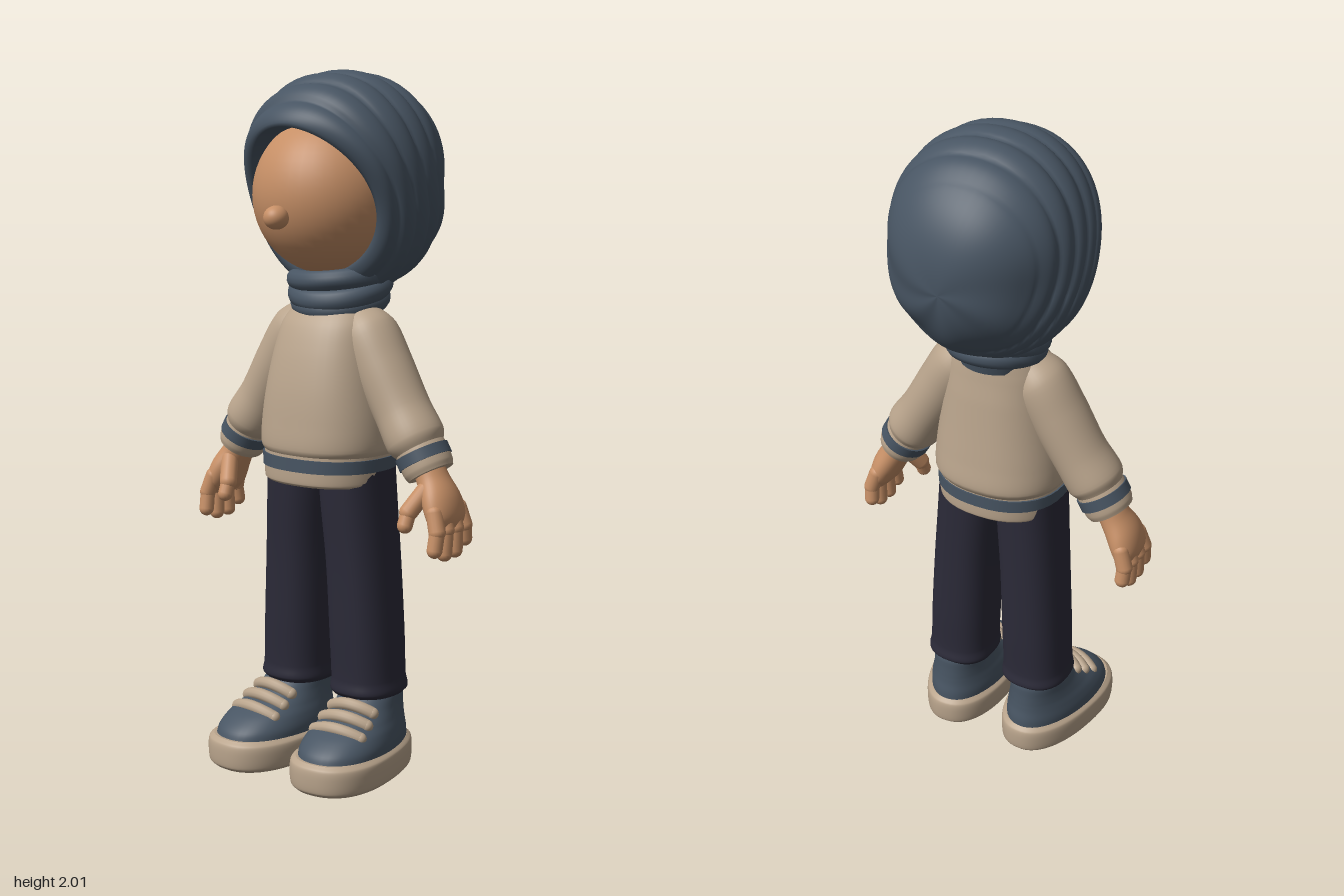
import * as THREE from 'three';

const V = (x, y, z) => new THREE.Vector3(x, y, z);
const mat = (name, color) => {
  const m = new THREE.MeshStandardMaterial({ color });
  m.name = name;
  return m;
};
const TAU = Math.PI * 2;

// Skin over a list of closed rings, with flat caps where wanted
function skin(rings, capStart = true, capEnd = true) {
  const n = rings[0].length, pos = [], idx = [];
  rings.forEach(r => r.forEach(p => pos.push(p.x, p.y, p.z)));
  for (let i = 0; i < rings.length - 1; i++)
    for (let j = 0; j < n; j++) {
      const a = i * n + j, b = i * n + (j + 1) % n;
      idx.push(a, a + n, b, b, a + n, b + n);
    }
  const cap = (ring, flip) => {
    const c = ring.reduce((s, p) => s.add(p), V(0, 0, 0)).divideScalar(n);
    const base = pos.length / 3;
    [c, ...ring].forEach(p => pos.push(p.x, p.y, p.z));
    for (let j = 0; j < n; j++) {
      const a = base + 1 + j, b = base + 1 + (j + 1) % n;
      flip ? idx.push(base, b, a) : idx.push(base, a, b);
    }
  };
  if (capStart) cap(rings[0], false);
  if (capEnd) cap(rings[rings.length - 1], true);
  const g = new THREE.BufferGeometry();
  g.setAttribute('position', new THREE.Float32BufferAttribute(pos, 3));
  g.setIndex(idx);
  g.computeVertexNormals();
  return g;
}

// Loft through sections [x, y, z, radiusA, radiusB]; flat keeps the rings level
function loft(sections, { flat = true, power = 2, steps = 6, seg = 40 } = {}) {
  const path = new THREE.CatmullRomCurve3(sections.map(s => V(s[0], s[1], s[2])));
  const rad = new THREE.CatmullRomCurve3(sections.map((s, i) => V(s[3], s[4], i * 0.05)));
  const count = (sections.length - 1) * steps, rings = [];
  const bend = c => Math.sign(c) * Math.abs(c) ** (2 / power);
  for (let i = 0; i <= count; i++) {
    const p = path.getPoint(i / count), r = rad.getPoint(i / count);
    const t = flat ? V(0, 1, 0) : path.getTangent(i / count);
    const u = V(t.y, -t.x, 0).normalize(), w = u.clone().cross(t);
    rings.push(Array.from({ length: seg }, (_, j) => {
      const a = j / seg * TAU;
      return p.clone().addScaledVector(u, bend(Math.cos(a)) * r.x).addScaledVector(w, bend(Math.sin(a)) * r.y);
    }));
  }
  return skin(rings);
}

function capsule(a, b, r) {
  const d = b.clone().sub(a);
  const g = new THREE.CapsuleGeometry(r, d.length(), 8, 16);
  g.applyQuaternion(new THREE.Quaternion().setFromUnitVectors(V(0, 1, 0), d.normalize()));
  return g.translate((a.x + b.x) / 2, (a.y + b.y) / 2, (a.z + b.z) / 2);
}

const ellipsoid = (x, y, z, rx, ry, rz) =>
  new THREE.SphereGeometry(1, 40, 28).scale(rx, ry, rz).translate(x, y, z);

// Draped hood: rings sweep from the face opening to the back of the head
function hoodGeometry() {
  const C = V(0, 1.69, -0.03), pole = V(0, -0.12, -1).normalize();
  const N = 96, T = 100, rings = [[]];
  const opening = v => {
    const y = 1.645 + 0.205 * Math.cos(v);
    return V(-0.213 * Math.sin(v), y, 0.07 + 0.175 * ((y - 1.5) / 0.36) ** 2);
  };
  for (let j = 0; j < N; j++) {
    const p = opening(j / N * TAU);
    rings[0].push(V(p.x * 0.96, p.y, p.z - 0.1));
  }
  for (let i = 0; i <= T; i++) {
    const t = i / T * 0.998, ring = [];
    for (let j = 0; j < N; j++) {
      const v = j / N * TAU, p = opening(v).sub(C), len = p.length();
      const d = p.clone().normalize(), ang = d.angleTo(pole);
      const dir = d.multiplyScalar(Math.sin((1 - t) * ang))
        .addScaledVector(pole, Math.sin(t * ang)).divideScalar(Math.sin(ang));
      const k = 2.15;
      const R = (Math.abs(dir.x / 0.268) ** k + Math.abs(dir.y / 0.302) ** k + Math.abs(dir.z / 0.295) ** k) ** (-1 / k);
      const s = 1 - (1 - Math.min(t / 0.2, 1)) ** 2;
      // layered pleats near the face, soft swirling folds behind
      const fade = 1 - THREE.MathUtils.smoothstep(t, 0.42, 0.68);
      const pleat = 0.015 * Math.abs(Math.sin(Math.PI * (t * 9 + 0.3 * Math.sin(v + 0.6) * t * 3))) ** 0.6;
      const swirl = 0.007 * Math.sin(5 * v + 7 * t) * (1 - fade) * (1 - t) * 2;
      const r = len + (R - len) * s + pleat * fade + swirl + 0.006 * (1 - fade);
      ring.push(C.clone().addScaledVector(dir, r));
    }
    rings.push(ring);
  }
  return skin(rings, false, true);
}

export function createModel() {
  const root = new THREE.Group();
  root.name = 'child';
  const skinTone = mat('skin', 0xc68f66), cloth = mat('slateBlue', 0x485563);
  const knit = mat('beige', 0xb9a48c), navy = mat('darkNavy', 0x2b2a38);
  const add = (name, geo, m, parent = root) => {
    const mesh = new THREE.Mesh(geo, m);
    mesh.name = name;
    parent.add(mesh);
    return mesh;
  };

  // Head
  add('face', ellipsoid(0, 1.66, 0.03, 0.215, 0.225, 0.225), skinTone);
  add('nose', ellipsoid(0, 1.605, 0.262, 0.035, 0.033, 0.037), skinTone);
  add('hood', hoodGeometry(), cloth);

  // Neck wrap: a core and sagging rolls
  add('neckWrapCore', loft([[0, 1.32, -0.01, 0.11, 0.11], [0, 1.4, -0.02, 0.125, 0.12], [0, 1.47, -0.03, 0.14, 0.13]]), cloth);
  [[1.432, 0.13, 0.118, 0.03, 0.012], [1.395, 0.122, 0.112, 0.034, 0.025], [1.36, 0.113, 0.108, 0.033, 0.028]]
    .forEach(([y, rx, rz, r, sag], i) => {
      const pts = Array.from({ length: 16 }, (_, j) => {
        const a = j / 16 * TAU;
        return V(rx * Math.cos(a), y - sag * Math.sin(a) + 0.008 * Math.cos(a + i * 2), -0.018 + rz * Math.sin(a));
      });
      add('neckWrapRoll' + (i + 1), new THREE.TubeGeometry(new THREE.CatmullRomCurve3(pts, true), 64, r, 14, true), cloth);
    });

  // Sweater body, hem and stripe
  add('sweaterBody', loft([
    [0, 0.925, 0.028, 0.185, 0.165], [0, 0.95, 0.028, 0.2, 0.178], [0, 1.02, 0.03, 0.198, 0.172],
    [0, 1.12, 0.03, 0.184, 0.16], [0, 1.22, 0.024, 0.167, 0.143], [0, 1.3, 0.014, 0.15, 0.122],
    [0, 1.36, -0.005, 0.115, 0.095], [0, 1.39, -0.01, 0.08, 0.07],
  ], { power: 2.3 }), knit);
  add('sweaterHem', loft([[0, 0.845, 0.03, 0.18, 0.16], [0, 0.853, 0.03, 0.188, 0.168],
    [0, 0.9, 0.03, 0.19, 0.169], [0, 0.94, 0.03, 0.19, 0.168]], { power: 2.3 }), knit);
  add('hemStripe', loft([[0, 0.888, 0.03, 0.194, 0.173], [0, 0.925, 0.03, 0.195, 0.173]], { power: 2.3 }), cloth);

  for (const s of [1, -1]) {
    const side = s > 0 ? 'left' : 'right';
    const along = list => list.map(([x, ...rest]) => [x * s, ...rest]);
    const part = name => {
      const g = new THREE.Group();
      g.name = side + name;
      root.add(g);
      return g;
    };

    // Sleeve with striped cuff
    const arm = part('Arm');
    const tilted = { flat: false };
    add('sleeve', loft(along([[0.085, 1.325, 0.005, 0.05, 0.06], [0.125, 1.27, 0.008, 0.082, 0.088], [0.18, 1.18, 0.012, 0.084, 0.09],
      [0.25, 1.065, 0.015, 0.08, 0.086], [0.3, 0.99, 0.02, 0.083, 0.089], [0.318, 0.962, 0.02, 0.068, 0.074]]), tilted), knit, arm);
    add('cuff', loft(along([[0.308, 0.978, 0.02, 0.068, 0.074], [0.325, 0.95, 0.02, 0.072, 0.078],
      [0.345, 0.915, 0.02, 0.071, 0.077], [0.354, 0.9, 0.02, 0.065, 0.071]]), tilted), knit, arm);
    add('cuffStripe', loft(along([[0.32, 0.958, 0.02, 0.076, 0.082], [0.336, 0.93, 0.02, 0.076, 0.082]]), tilted), cloth, arm);

    // Hand with four fingers and a thumb
    const hand = part('Hand');
    add('palm', loft(along([[0.34, 0.925, 0.02, 0.042, 0.048], [0.365, 0.88, 0.022, 0.043, 0.054], [0.395, 0.83, 0.026, 0.045, 0.072],
      [0.413, 0.785, 0.027, 0.038, 0.078], [0.42, 0.755, 0.027, 0.022, 0.066]]), tilted), skinTone, hand);
    [[0.083, 0.1, 0.705], [0.045, 0.054, 0.688], [0.006, 0.004, 0.69], [-0.03, -0.042, 0.715]].forEach(([z0, z1, y], i) => {
      const knuckle = V(0.428 * s, 0.755, (z0 + z1) / 2);
      add('finger' + (i + 1), capsule(V(0.412 * s, 0.805, z0), knuckle, 0.024), skinTone, hand);
      add('fingertip' + (i + 1), capsule(knuckle, V(0.426 * s, y, z1), 0.022), skinTone, hand);
    });
    add('thumb', capsule(V(0.365 * s, 0.86, 0.06), V(0.336 * s, 0.8, 0.1), 0.026), skinTone, hand);
    add('thumbTip', capsule(V(0.336 * s, 0.8, 0.1), V(0.335 * s, 0.765, 0.115), 0.022), skinTone, hand);

    // Trouser leg with hem
    const leg = part('Leg');
    add('trouserLeg', loft(along([[0.128, 0.225, 0.01, 0.094, 0.1], [0.13, 0.24, 0.01, 0.104, 0.112], [0.129, 0.275, 0.011, 0.1, 0.107],
      [0.124, 0.4, 0.012, 0.099, 0.11], [0.113, 0.62, 0.016, 0.096, 0.113],
      [0.1, 0.8, 0.022, 0.096, 0.118], [0.095, 0.9, 0.025, 0.094, 0.12]]), { power: 2.4 }), navy, leg);

    // Shoe: toe widens and turns out slightly
    const shoe = part('Shoe');
    shoe.position.set(0.138 * s, 0, 0);
    shoe.rotation.y = 0.09 * s;
    const footed = geo => {
      const p = geo.attributes.position;
      for (let i = 0; i < p.count; i++) p.setX(i, p.getX(i) * (1 + 0.55 * (p.getZ(i) - 0.14)));
      geo.computeVertexNormals();
      return geo;
    };
    add('sole', footed(loft([[0, 0, 0.1, 0.122, 0.215], [0, 0.012, 0.1, 0.133, 0.227], [0, 0.05, 0.1, 0.136, 0.23],
      [0, 0.078, 0.1, 0.133, 0.227], [0, 0.09, 0.1, 0.12, 0.214]], { power: 2.35, seg: 56 })), knit, shoe);
    add('shoeUpper', footed(loft([[0, 0.08, 0.098, 0.122, 0.212], [0, 0.11, 0.092, 0.121, 0.204], [0, 0.14, 0.076, 0.113, 0.182],
      [0, 0.165, 0.052, 0.103, 0.155], [0, 0.195, 0.024, 0.094, 0.125], [0, 0.225, 0.006, 0.089, 0.106],
      [0, 0.245, 0, 0.08, 0.096]], { power: 2.2, seg: 48 })), cloth, shoe);
    [[0.162, 0.208, 0.078], [0.188, 0.168, 0.074], [0.213, 0.13, 0.068]].forEach(([y, z, w], i) => {
      const arc = new THREE.QuadraticBezierCurve3(V(-w, y - 0.018, z - 0.02), V(0, y + 0.022, z + 0.016), V(w, y - 0.018, z - 0.02));
      add('lace' + (i + 1), new THREE.TubeGeometry(arc, 20, 0.018, 12), knit, shoe);
      [0, 1].forEach(e => {
        const p = arc.getPoint(e);
        add('laceEnd', ellipsoid(p.x, p.y, p.z, 0.018, 0.018, 0.018), knit, shoe);
      });
    });
  }
  return root;
}
